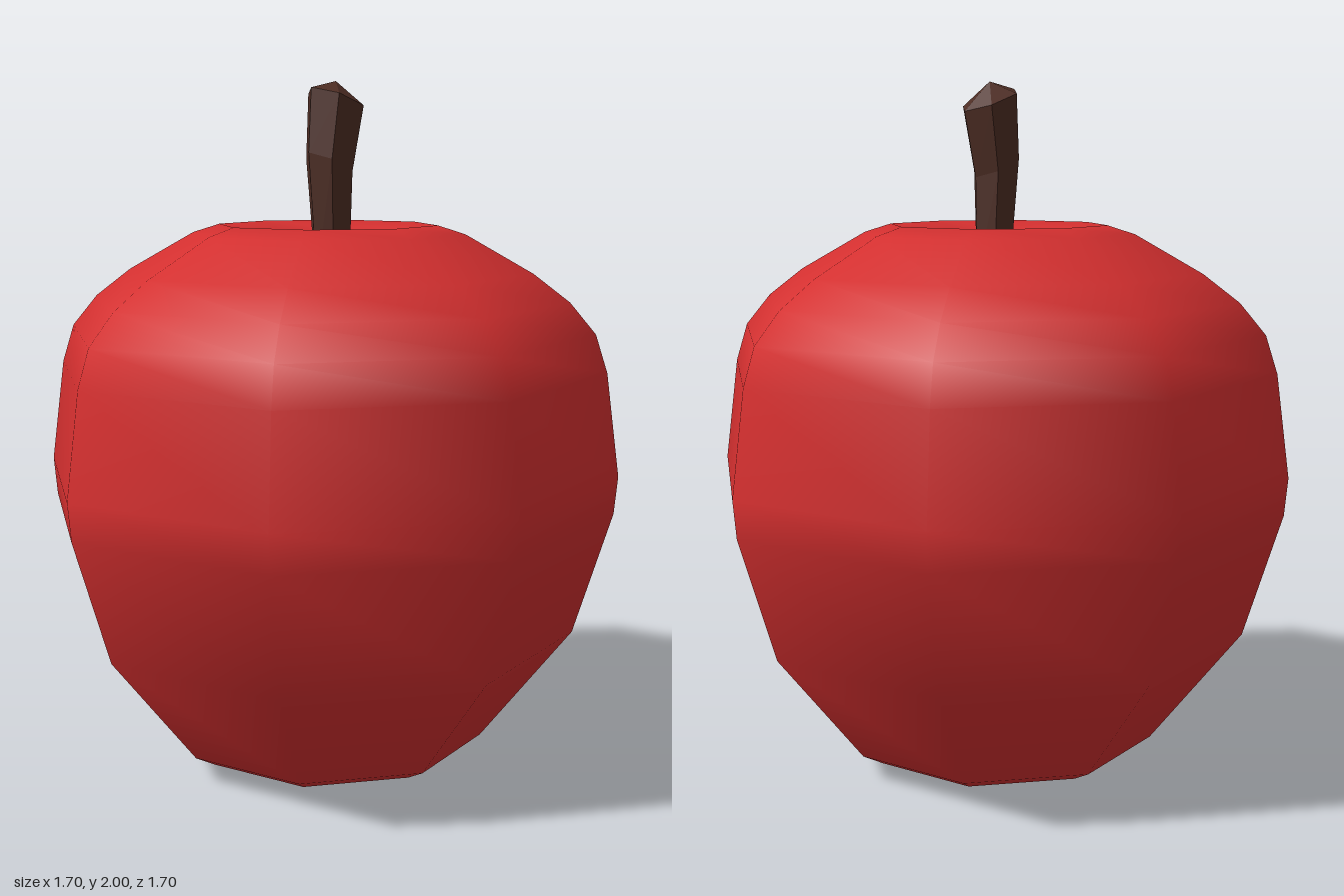
import * as THREE from 'three';

const red = new THREE.MeshStandardMaterial({ color: 0xd32f2f });
red.name = 'apple red';
const brown = new THREE.MeshStandardMaterial({ color: 0x4e2d24 });
brown.name = 'stem brown';

// Eight-sided smooth body with a hollow at the top and the bottom
function makeFruit() {
  const profile = [
    [0, 0.07], [0.12, 0.05], [0.24, 0.004], [0.4, 0.04], [0.465, 0.075],
    [0.73, 0.41], [0.84, 0.77], [0.85, 0.88], [0.81, 1.18], [0.775, 1.29],
    [0.7, 1.38], [0.595, 1.46], [0.4, 1.57], [0.32, 1.595],
    [0.24, 1.57], [0.12, 1.505], [0, 1.48],
  ].map(([r, y]) => new THREE.Vector2(r, y));
  const fruit = new THREE.Mesh(new THREE.LatheGeometry(profile, 8), red);
  fruit.name = 'fruit';
  return fruit;
}

// Bent six-sided stem: each ring is [centre x, centre y, x radius, z radius, tilt]
function makeStem() {
  const rings = [
    [-0.002, 1.45, 0.055, 0.045, 0],
    [-0.013, 1.765, 0.071, 0.064, -0.5],
    [0.01, 1.948, 0.085, 0.076, -0.39],
  ];
  const zMid = 0.027;
  const positions = [];
  const index = [];
  for (const [cx, cy, rx, rz, tilt] of rings) {
    for (let i = 0; i < 6; i++) {
      const a = (i * Math.PI) / 3;
      const dx = rx * Math.cos(a);
      positions.push(cx + dx, cy + dx * tilt, zMid + (rz * Math.sin(a)) / Math.sin(Math.PI / 3));
    }
  }
  positions.push(0.01, 2, zMid, 0, 1.45, zMid); // cap peak and base centre
  for (let i = 0; i < 6; i++) {
    const j = (i + 1) % 6;
    for (const k of [0, 6]) index.push(k + i, k + 6 + i, k + j, k + j, k + 6 + i, k + 6 + j);
    index.push(12 + i, 18, 12 + j, j, 19, i);
  }
  const indexed = new THREE.BufferGeometry();
  indexed.setAttribute('position', new THREE.Float32BufferAttribute(positions, 3));
  indexed.setIndex(index);
  const geometry = indexed.toNonIndexed(); // separate faces keep the facets flat
  geometry.computeVertexNormals();
  const stem = new THREE.Mesh(geometry, brown);
  stem.name = 'stem';
  return stem;
}

export function createModel() {
  const apple = new THREE.Group();
  apple.name = 'apple';
  apple.add(makeFruit(), makeStem());
  return apple;
}
